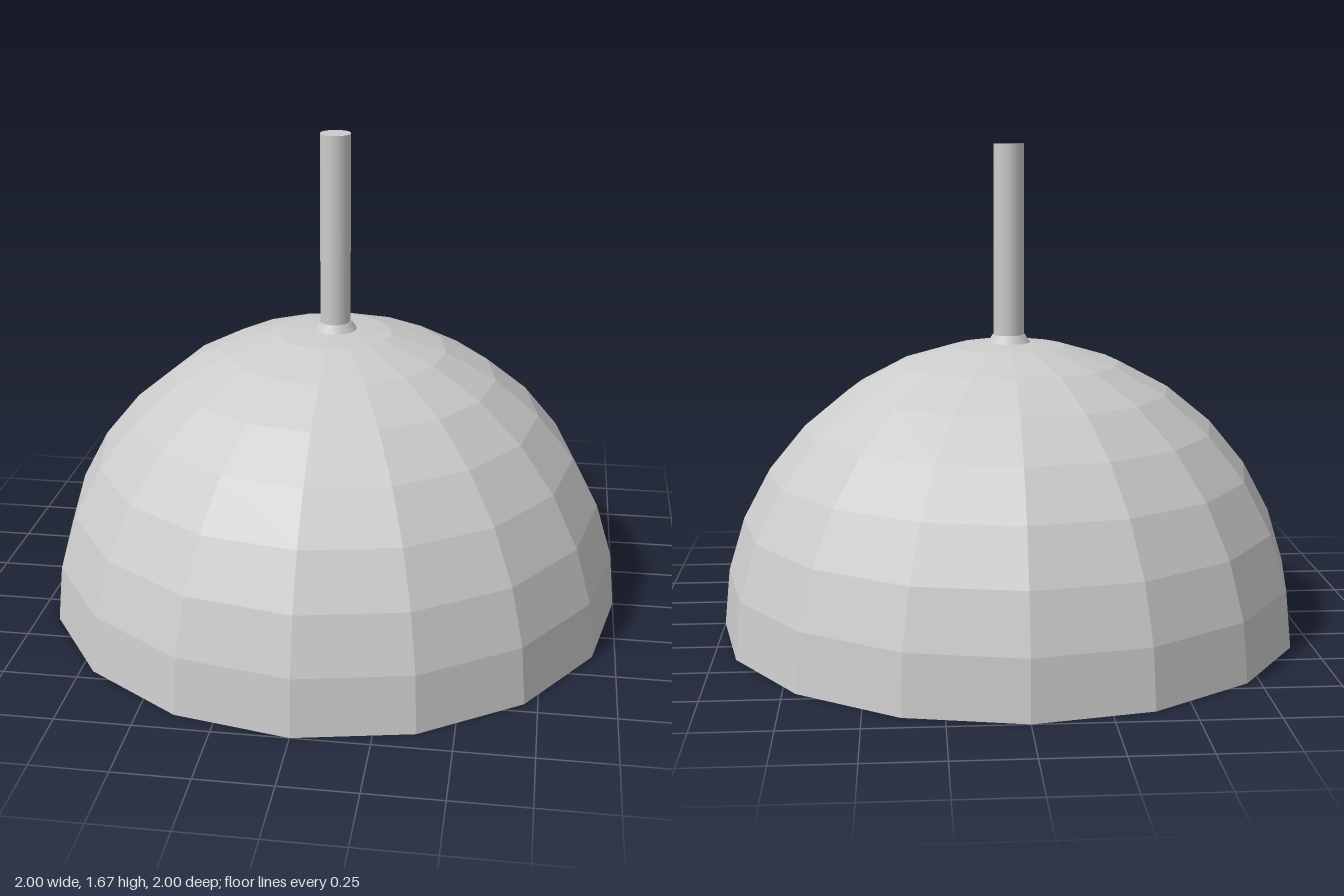
import * as THREE from 'three';

const V = (x, y) => new THREE.Vector2(x, y);

export function createModel() {
  const group = new THREE.Group();
  const flat = new THREE.MeshStandardMaterial({ color: 0xcccccc, flatShading: true, side: THREE.DoubleSide });
  const smooth = new THREE.MeshStandardMaterial({ color: 0xcccccc });

  const add = (name, geometry, material, y = 0) => {
    const mesh = new THREE.Mesh(geometry, material);
    mesh.name = name;
    mesh.position.y = y;
    group.add(mesh);
  };

  // Quarter-circle profile of the dome, from the rim up to the crown
  const rings = 8;
  const arc = (radius) => Array.from({ length: rings + 1 }, (_, i) => {
    const a = (i / rings) * Math.PI / 2;
    return V(i === rings ? 0 : radius * Math.cos(a), radius * Math.sin(a));
  });

  // Hollow faceted shade: inner wall down to the rim, then outer wall up
  add('shade', new THREE.LatheGeometry([...arc(0.95).reverse(), ...arc(1)], 16), flat);

  // Bulb holder under the crown: straight body with a tapered, flat-bottomed end
  add('bulbHolder', new THREE.CylinderGeometry(0.26, 0.26, 0.4, 24, 1, true), smooth, 0.71);
  add('bulbHolderTaper', new THREE.CylinderGeometry(0.26, 0.15, 0.12, 24), smooth, 0.45);

  // Small collar where the rod meets the shade
  add('collar', new THREE.CylinderGeometry(0.056, 0.075, 0.03, 24), smooth, 1.005);

  // Hanging rod
  add('rod', new THREE.CylinderGeometry(0.052, 0.052, 0.69, 24), smooth, 1.325);

  return group;
}
